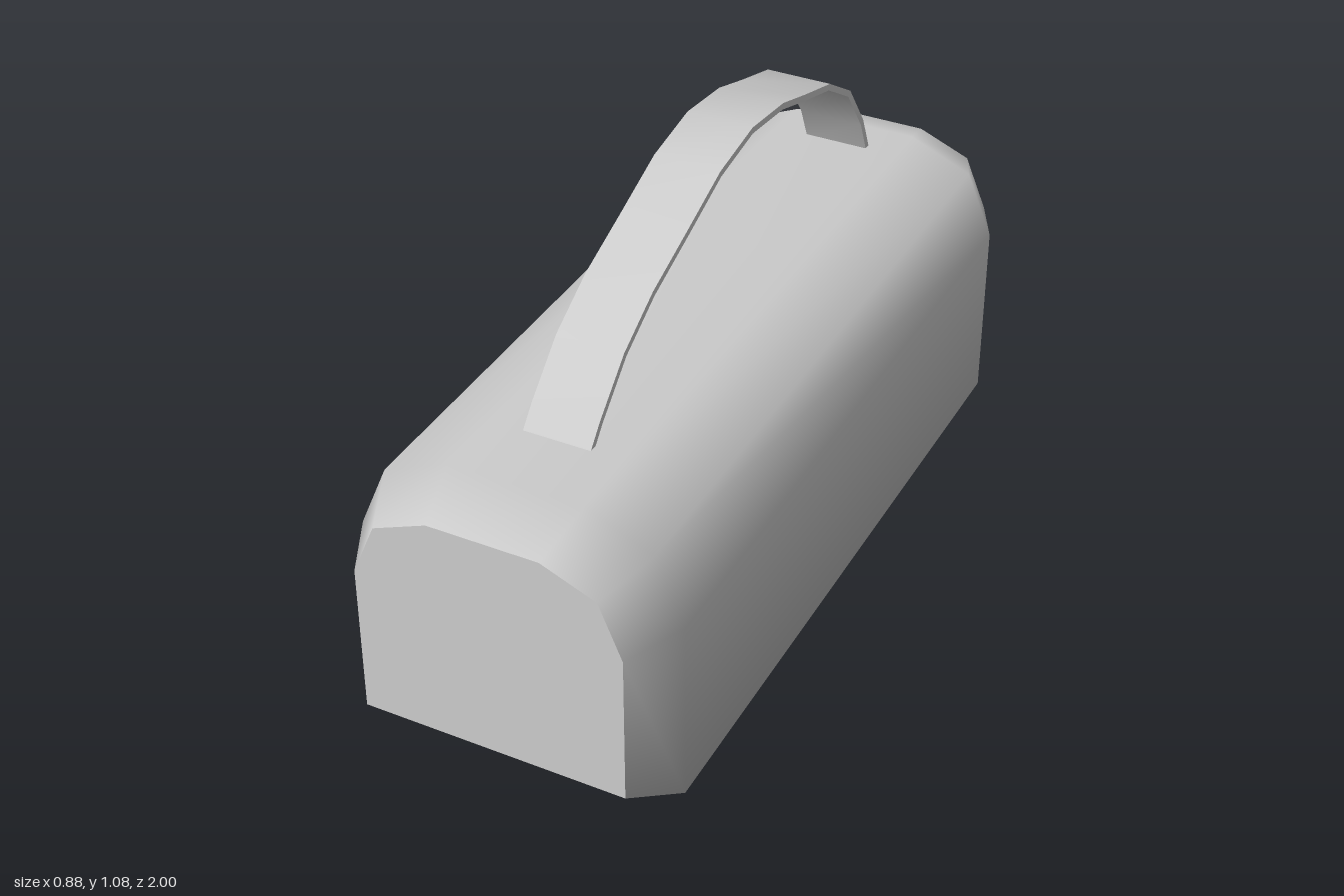
import * as THREE from 'three';
import { mergeGeometries, toCreasedNormals } from 'three/addons/utils/BufferGeometryUtils.js';

const grey = new THREE.MeshStandardMaterial({ color: 0xcccccc });

function geometryFrom(points, index) {
  const g = new THREE.BufferGeometry().setFromPoints(points);
  g.setIndex(index);
  g.computeVertexNormals();
  return g;
}

// Skin a row of convex rings; the walls are smooth, the end caps stay flat.
function loft(rings) {
  const n = rings[0].length;
  const walls = [], fan = [];
  for (let i = 0; i < rings.length - 1; i++) {
    for (let j = 0; j < n; j++) {
      const a = i * n + j, b = i * n + (j + 1) % n;
      walls.push(a, b, b + n, a, b + n, a + n);
    }
  }
  for (let j = 1; j < n - 1; j++) fan.push(0, j, j + 1);
  return mergeGeometries([
    geometryFrom(rings.flat(), walls),
    geometryFrom(rings[rings.length - 1], fan),
    geometryFrom(rings[0], [...fan].reverse()),
  ]);
}

function addMesh(group, name, geometry) {
  const mesh = new THREE.Mesh(geometry, grey);
  mesh.name = name;
  group.add(mesh);
}

// Flat-bottomed bag section with two chamfers on each shoulder.
function bagSection(z, halfWidth, bottom, shoulder, haunch, top) {
  const cx = 0.048;
  const right = [
    [halfWidth, bottom], [halfWidth, shoulder],
    [halfWidth * 0.825, haunch], [halfWidth * 0.415, top],
  ];
  const left = right.map(([x, y]) => [-x, y]).reverse();
  return [...right, ...left].map(([x, y]) => new THREE.Vector3(cx + x, y, z));
}

export function createModel() {
  const group = new THREE.Group();
  group.name = 'duffelBag';

  // Body, tapered at both ends
  const end = [0.32, 0.075, 0.45, 0.583, 0.637];
  const full = [0.389, 0, 0.46, 0.622, 0.69];
  addMesh(group, 'body', loft([
    bagSection(-1, ...end), bagSection(-0.86, ...full),
    bagSection(0.86, ...full), bagSection(1, ...end),
  ]));

  // Side pocket: stacked rectangles shrinking outwards [x, half length, half height]
  const pocketSteps = [
    [-0.33, 0.5, 0.165], [-0.342, 0.5, 0.163], [-0.39, 0.46, 0.15],
    [-0.425, 0.42, 0.125], [-0.44, 0.37, 0.084],
  ];
  const pocket = loft(pocketSteps.map(([x, l, h]) =>
    [[-1, -1], [1, -1], [1, 1], [-1, 1]].map(([u, v]) => new THREE.Vector3(x, 0.215 + v * h, u * l))));
  addMesh(group, 'sidePocket', toCreasedNormals(pocket, 0.7));

  // Carrying strap: a thin band along an arch, given as [z, y]
  const arch = [
    [0.685, 0.68], [0.64, 0.733], [0.53, 0.838], [0.4, 0.915], [0.24, 0.978],
    [0.08, 1.043], [-0.08, 1.072], [-0.24, 1.056], [-0.36, 1.02], [-0.505, 0.98],
    [-0.63, 0.903], [-0.72, 0.78], [-0.765, 0.68],
  ].map(([z, y]) => new THREE.Vector2(z, y));
  const offset = (d) => arch.map((p, i) => {
    const t = arch[Math.min(i + 1, arch.length - 1)].clone().sub(arch[Math.max(i - 1, 0)]).normalize();
    return new THREE.Vector2(p.x + t.y * d, p.y - t.x * d);
  });
  const band = new THREE.Shape([...offset(0.008), ...offset(-0.008).reverse()]);
  const strap = new THREE.ExtrudeGeometry(band, { depth: 0.163, bevelEnabled: false });
  strap.rotateY(-Math.PI / 2).translate(0.129, 0, 0);
  addMesh(group, 'strap', toCreasedNormals(strap, 0.7));

  return group;
}
